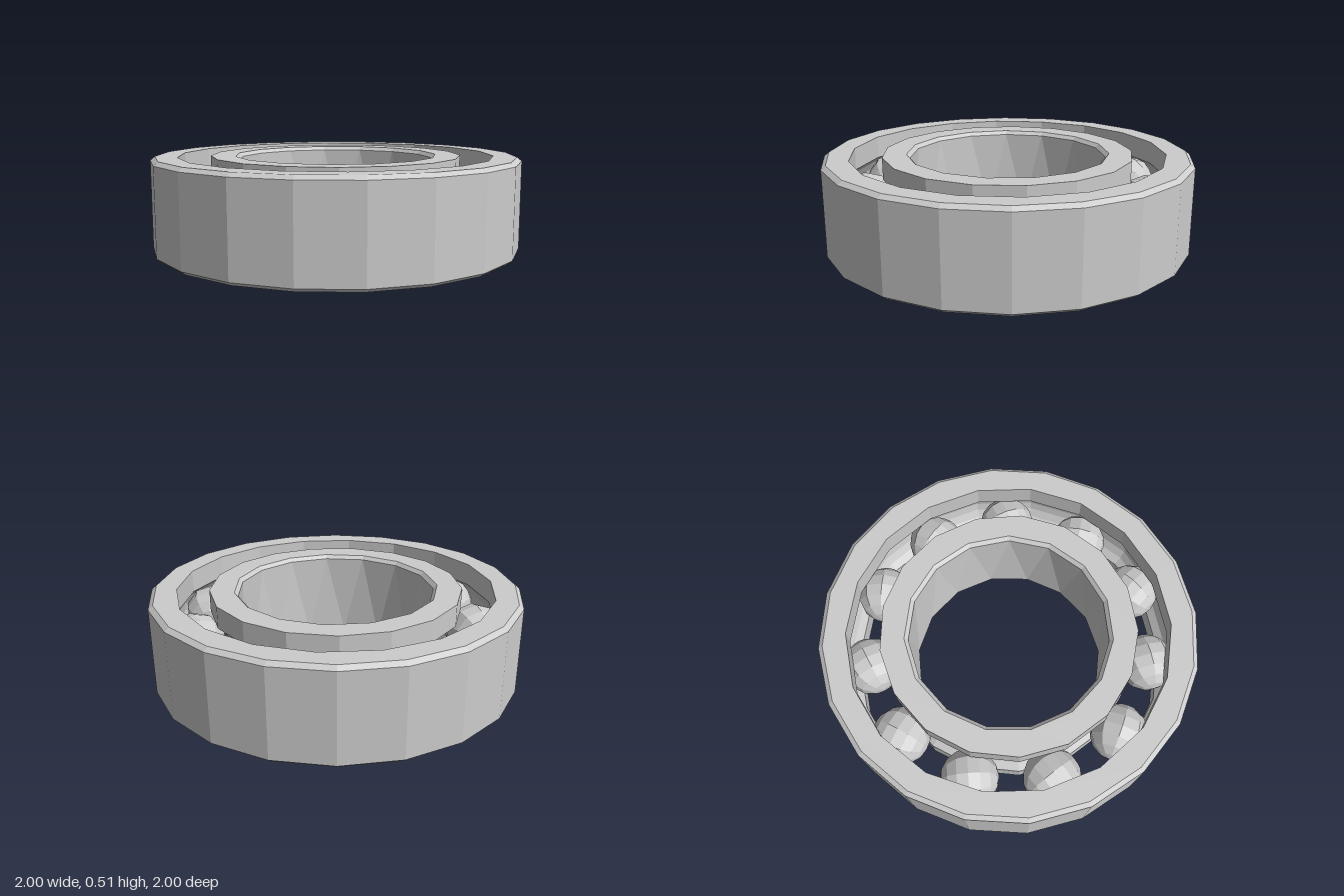
import * as THREE from 'three';

const H = 0.51, MID = H / 2;
const BALL_R = 0.155, PITCH_R = 0.765, BALLS = 11;

const material = new THREE.MeshStandardMaterial({ color: 0xcccccc, flatShading: true });

function mesh(name, geometry) {
  const flat = geometry.toNonIndexed();
  flat.computeVertexNormals();
  const m = new THREE.Mesh(flat, material);
  m.name = name;
  return m;
}

// Faceted wall of revolution; rows in the lower half may be twisted by half a facet
function wall(name, profile, sides, twisted = false) {
  const g = new THREE.LatheGeometry(profile.map(([r, y]) => new THREE.Vector2(r, y)), sides);
  if (twisted) {
    const p = g.attributes.position, v = new THREE.Vector3(), up = new THREE.Vector3(0, 1, 0);
    for (let i = 0; i < p.count; i++) {
      v.fromBufferAttribute(p, i);
      if (v.y < MID) v.applyAxisAngle(up, Math.PI / sides);
      p.setXYZ(i, v.x, v.y, v.z);
    }
  }
  return mesh(name, g);
}

// Flat annular face between two polygons, facing up or down
function face(name, y, [outR, outN], [inR, inN, inPhase = 0]) {
  const dir = y > MID ? -1 : 1;
  const polygon = (r, n, phase) => Array.from({ length: n }, (_, i) => {
    const a = phase + (i / n) * Math.PI * 2;
    return new THREE.Vector2(r * Math.sin(a), dir * r * Math.cos(a));
  });
  const shape = new THREE.Shape(polygon(outR, outN, 0));
  shape.holes.push(new THREE.Path(polygon(inR, inN, inPhase)));
  const g = new THREE.ShapeGeometry(shape);
  g.rotateX(dir * Math.PI / 2);
  g.translate(0, y, 0);
  return mesh(name, g);
}

// Raceway profile, top to bottom: straight land, ball groove, straight land
function raceway(landR, side) {
  const r = BALL_R + 0.005;
  const span = Math.acos(Math.abs(landR - PITCH_R) / r);
  const points = [[landR, H]];
  for (let i = 0; i <= 6; i++) {
    const a = span * (1 - i / 3);
    points.push([PITCH_R + side * r * Math.cos(a), MID + r * Math.sin(a)]);
  }
  points.push([landR, 0]);
  return points;
}

export function createModel() {
  const model = new THREE.Group();
  model.name = 'ballBearing';

  // Outer ring with bevelled rim
  const outer = new THREE.Group();
  outer.name = 'outerRing';
  outer.add(
    wall('outerRim', [[0.975, 0], [1, 0.02], [1, H - 0.02], [0.975, H]], 20),
    wall('outerRaceway', raceway(0.855, 1), 18),
    face('outerTopFace', H, [0.975, 20], [0.855, 18]),
    face('outerBottomFace', 0, [0.975, 20], [0.855, 18]),
  );

  // Inner ring with bevelled bore
  const inner = new THREE.Group();
  inner.name = 'innerRing';
  const boreSides = 15;
  inner.add(
    wall('innerRaceway', raceway(0.68, -1).reverse(), 17),
    wall('bore', [[0.55, H], [0.53, H - 0.02], [0.53, 0.02], [0.55, 0]], boreSides, true),
    face('innerTopFace', H, [0.68, 17], [0.55, boreSides]),
    face('innerBottomFace', 0, [0.68, 17], [0.55, boreSides, Math.PI / boreSides]),
  );

  // Balls, each with its pole axis lying horizontally
  const balls = new THREE.Group();
  balls.name = 'balls';
  const ballGeometry = new THREE.SphereGeometry(BALL_R, 10, 8).rotateZ(Math.PI / 2);
  for (let i = 0; i < BALLS; i++) {
    const a = Math.PI - (i / BALLS) * Math.PI * 2;
    const ball = mesh('ball', ballGeometry);
    ball.position.set(PITCH_R * Math.sin(a), MID, PITCH_R * Math.cos(a));
    ball.rotation.y = a + 0.35;
    balls.add(ball);
  }

  model.add(outer, inner, balls);
  return model;
}
